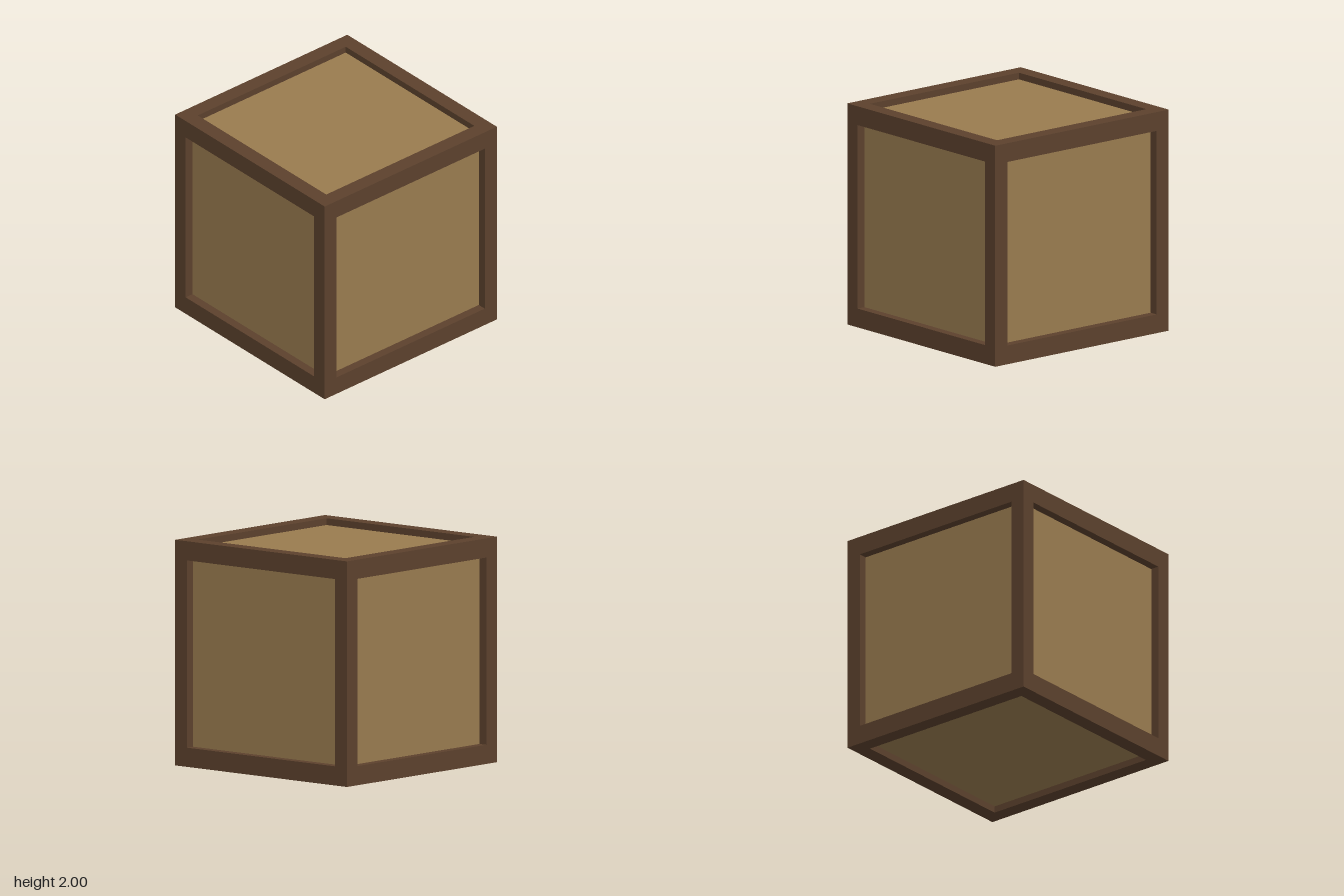
import * as THREE from 'three';

// Wooden crate: a beam frame around a slightly recessed panelled core
export function createModel() {
  const crate = new THREE.Group();
  crate.name = 'crate';

  const darkWood = new THREE.MeshStandardMaterial({ color: 0x5c412d });
  darkWood.name = 'dark wood';
  const lightWood = new THREE.MeshStandardMaterial({ color: 0x997b4f });
  lightWood.name = 'light wood';

  const size = 2;
  const side = 0.14; // beam thickness along x and z
  const rise = 0.17; // beam thickness along y
  const off = (size - side) / 2;
  const span = size - 2 * side;

  function box(name, w, h, d, x, y, z, material) {
    const mesh = new THREE.Mesh(new THREE.BoxGeometry(w, h, d), material);
    mesh.name = name;
    mesh.position.set(x, y, z);
    crate.add(mesh);
  }

  // Recessed panels on all six sides
  box('panels', 1.84, 1.88, 1.84, 0, 1, 0, lightWood);

  // Corner posts
  for (const x of [-off, off])
    for (const z of [-off, off]) box('cornerPost', side, size, side, x, 1, z, darkWood);

  // Bottom and top rails fitted between the posts
  for (const y of [rise / 2, size - rise / 2])
    for (const s of [-off, off]) {
      box('crossRail', span, rise, side, 0, y, s, darkWood);
      box('sideRail', side, rise, span, s, y, 0, darkWood);
    }

  return crate;
}
